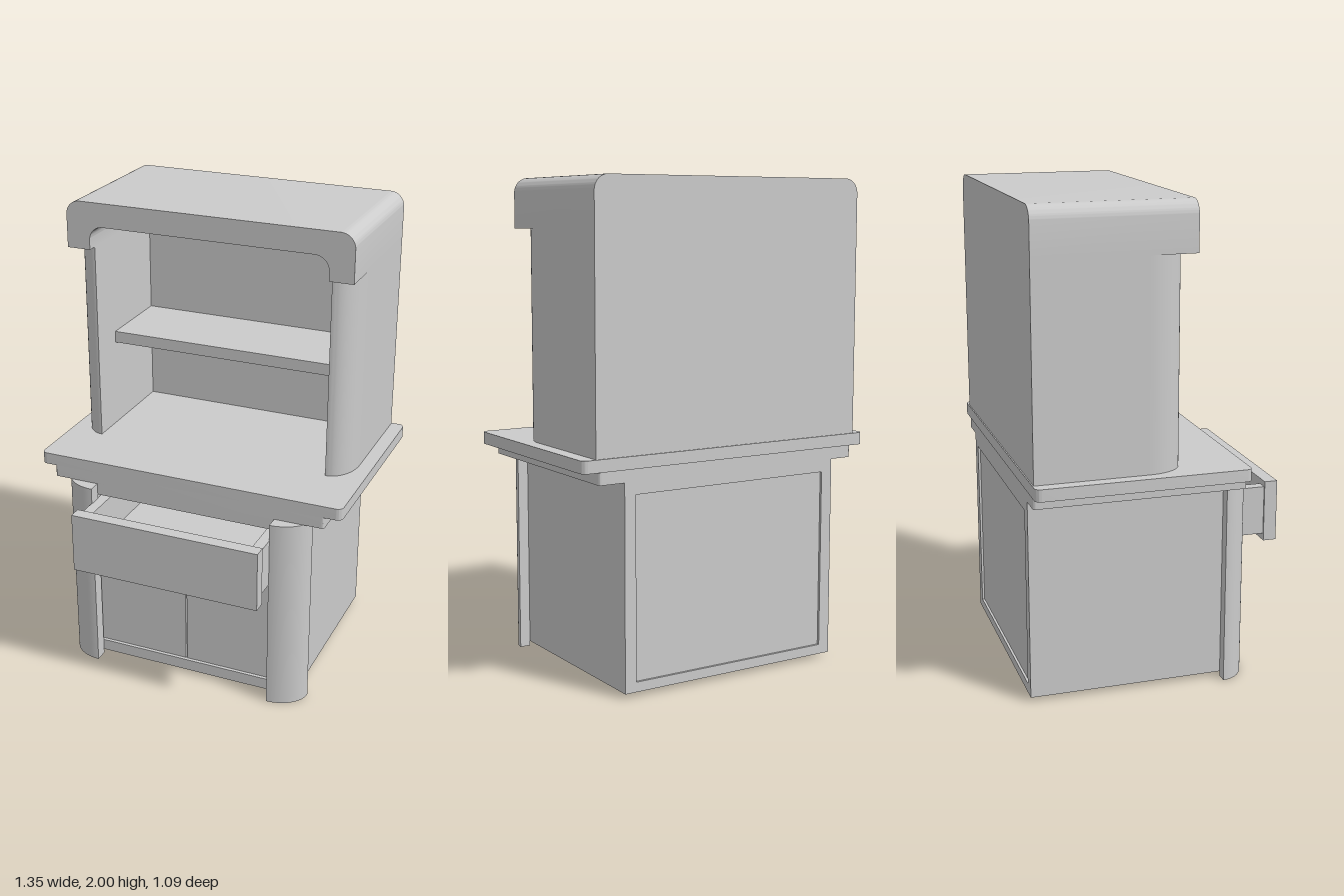
import * as THREE from 'three';
import { toCreasedNormals } from 'three/addons/utils/BufferGeometryUtils.js';

const material = new THREE.MeshStandardMaterial({ color: 0xcccccc });

function add(parent, name, geometry) {
  const mesh = new THREE.Mesh(geometry, material);
  mesh.name = name;
  parent.add(mesh);
  return mesh;
}

// Box given by its limits on each axis
function box(parent, name, [x0, x1], [y0, y1], [z0, z1]) {
  const mesh = add(parent, name, new THREE.BoxGeometry(x1 - x0, y1 - y0, z1 - z0));
  mesh.position.set((x0 + x1) / 2, (y0 + y1) / 2, (z0 + z1) / 2);
  return mesh;
}

function extrude(shape, depth) {
  const g = new THREE.ExtrudeGeometry(shape, { depth, bevelEnabled: false, curveSegments: 12 });
  return toCreasedNormals(g, 0.6);
}

// Horizontal slab with rounded plan corners
function slab(parent, name, halfWidth, [y0, y1], [z0, z1], r) {
  const s = new THREE.Shape();
  const w = halfWidth;
  s.moveTo(-w + r, -z1);
  s.lineTo(w - r, -z1);
  s.absarc(w - r, -z1 + r, r, -Math.PI / 2, 0);
  s.absarc(w - r, -z0 - r, r, 0, Math.PI / 2);
  s.absarc(-w + r, -z0 - r, r, Math.PI / 2, Math.PI);
  s.absarc(-w + r, -z1 + r, r, Math.PI, Math.PI * 1.5);
  const mesh = add(parent, name, extrude(s, y1 - y0).rotateX(-Math.PI / 2));
  mesh.position.y = y0;
  return mesh;
}

// Corner pilaster: quarter-ellipse front wrapped round a notch for the carcass corner
function pilaster(parent, name, side, [x0, x1], [y0, y1], [z0, z1], notch) {
  const s = new THREE.Shape();
  const steps = 20;
  for (let i = 0; i <= steps; i++) {
    const a = (i / steps) * Math.PI / 2;
    const x = side * (x0 + (x1 - x0) * Math.sin(a));
    const z = z0 + (z1 - z0) * Math.cos(a);
    if (i === 0) s.moveTo(x, -z); else s.lineTo(x, -z);
  }
  if (notch) {
    const [nx, nz] = notch;
    s.lineTo(side * nx, -z0);
    s.lineTo(side * nx, -nz);
    s.lineTo(side * x0, -nz);
  } else {
    s.lineTo(side * x0, -z0);
  }
  s.closePath();
  const mesh = add(parent, name, extrude(s, y1 - y0).rotateX(-Math.PI / 2));
  mesh.position.y = y0;
}

// Lower cupboard with doors, pilasters and a bay for the drawer
function buildCupboard() {
  const g = new THREE.Group();
  g.name = 'cupboard';
  g.position.x = -0.01;
  for (const s of [-1, 1]) {
    const label = s > 0 ? 'left' : 'right';
    box(g, label + 'Side', s > 0 ? [0.415, 0.5] : [-0.5, -0.415], [0.02, 0.85], [-0.52, 0.33]);
    box(g, label + 'BackStile', s > 0 ? [0.45, 0.5] : [-0.5, -0.45], [0.02, 0.85], [-0.54, -0.52]);
    box(g, label + 'Door', s > 0 ? [0.003, 0.415] : [-0.415, -0.003], [0.07, 0.545], [0.28, 0.315]);
    pilaster(g, label + 'Pilaster', s, [0.4, 0.545], [0, 0.85], [0.27, 0.385], [0.5, 0.33]);
  }
  box(g, 'bottomBoard', [-0.415, 0.415], [0.02, 0.07], [-0.52, 0.33]);
  box(g, 'drawerBayFloor', [-0.415, 0.415], [0.53, 0.565], [-0.5, 0.315]);
  box(g, 'topRail', [-0.415, 0.415], [0.8, 0.85], [-0.52, 0.33]);
  box(g, 'backPanel', [-0.45, 0.45], [0.02, 0.85], [-0.53, -0.49]);
  box(g, 'backTopRail', [-0.45, 0.45], [0.8, 0.85], [-0.54, -0.52]);
  box(g, 'backBottomRail', [-0.45, 0.45], [0.02, 0.06], [-0.54, -0.52]);
  return g;
}

// Half-open drawer: plain front and an open-topped tray
function buildDrawer() {
  const g = new THREE.Group();
  g.name = 'drawer';
  g.position.x = -0.008;
  box(g, 'drawerFront', [-0.412, 0.412], [0.545, 0.803], [0.49, 0.545]);
  box(g, 'drawerRightSide', [-0.405, -0.36], [0.575, 0.78], [-0.25, 0.49]);
  box(g, 'drawerLeftSide', [0.355, 0.4], [0.575, 0.78], [-0.25, 0.49]);
  box(g, 'drawerBack', [-0.36, 0.355], [0.575, 0.78], [-0.25, -0.21]);
  box(g, 'drawerFloor', [-0.36, 0.355], [0.575, 0.615], [-0.21, 0.49]);
  return g;
}

// Upper hutch: rounded hood, side walls, pilasters, back and one shelf
function buildHutch() {
  const g = new THREE.Group();
  g.name = 'hutch';
  g.position.x = -0.004;
  const W = 0.618, w = 0.516, r = 0.06;
  const arch = new THREE.Shape();
  arch.moveTo(w, 1.8);
  arch.lineTo(W, 1.8);
  arch.absarc(W - r, 2 - r, r, 0, Math.PI / 2);
  arch.absarc(-W + r, 2 - r, r, Math.PI / 2, Math.PI);
  arch.lineTo(-W, 1.8);
  arch.lineTo(-w, 1.8);
  arch.absarc(-w + r, 1.9 - r, r, Math.PI, Math.PI / 2, true);
  arch.absarc(w - r, 1.9 - r, r, Math.PI / 2, 0, true);
  arch.closePath();
  add(g, 'hood', extrude(arch, 0.65)).position.z = -0.54;

  for (const s of [-1, 1]) {
    const label = s > 0 ? 'left' : 'right';
    box(g, label + 'Wall', s > 0 ? [w, W] : [-W, -w], [0.95, 1.8], [-0.54, -0.08]);
    pilaster(g, label + 'HutchPilaster', s, [w, W], [0.95, 1.8], [-0.08, 0.068]);
  }
  box(g, 'hutchBack', [-w, w], [0.95, 1.9], [-0.54, -0.45]);
  box(g, 'shelf', [-w, w], [1.325, 1.375], [-0.45, -0.09]);
  return g;
}

export function createModel() {
  const model = new THREE.Group();
  model.name = 'hutchCabinet';
  model.add(buildCupboard(), buildDrawer(), buildHutch());
  slab(model, 'moulding', 0.605, [0.85, 0.9], [-0.54, 0.33], 0.01).position.x = -0.004;
  slab(model, 'countertop', 0.673, [0.9, 0.95], [-0.545, 0.33], 0.025);
  return model;
}
